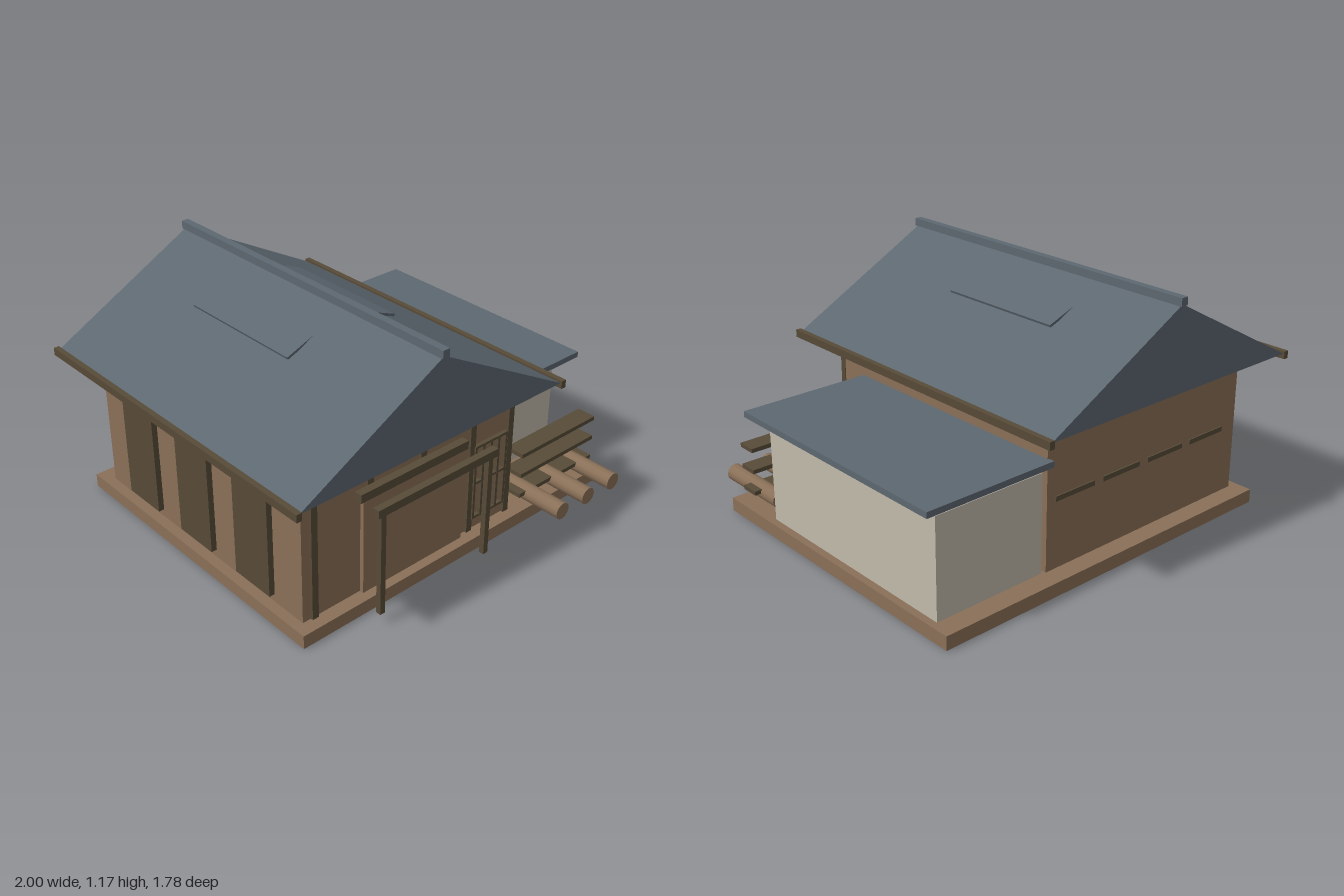
import * as THREE from 'three';

const mat = (name, color) => {
  const m = new THREE.MeshStandardMaterial({ color });
  m.name = name;
  return m;
};

export function createModel() {
  const house = new THREE.Group();
  house.name = 'house';
  const wood = mat('wood', 0x8a7058);
  const darkWood = mat('darkWood', 0x584b38);
  const slate = mat('slate', 0x5d6871);
  const plaster = mat('plaster', 0xc2bbac);

  // Box given by its limits on each axis
  const box = (name, m, [x0, x1], [y0, y1], [z0, z1], parent = house) => {
    const mesh = new THREE.Mesh(new THREE.BoxGeometry(x1 - x0, y1 - y0, z1 - z0), m);
    mesh.position.set((x0 + x1) / 2, (y0 + y1) / 2, (z0 + z1) / 2);
    mesh.name = name;
    parent.add(mesh);
    return mesh;
  };
  const group = (name) => {
    const g = new THREE.Group();
    g.name = name;
    house.add(g);
    return g;
  };

  // Base and main walls
  box('base', wood, [-0.9, 0.965], [0, 0.065], [-0.82, 0.73]);
  box('mainWalls', wood, [-0.85, 0.353], [0.065, 0.745], [-0.73, 0.665]);

  // Gable roof, ridge cap and eave beams
  const ridgeX = -0.25, ridgeY = 1.14, eaveY = 0.745, half = 0.73;
  const gable = new THREE.Shape([
    new THREE.Vector2(ridgeX - half, eaveY),
    new THREE.Vector2(ridgeX + half, eaveY),
    new THREE.Vector2(ridgeX, ridgeY),
  ]);
  const roof = new THREE.Mesh(
    new THREE.ExtrudeGeometry(gable, { depth: 1.7, bevelEnabled: false }), slate);
  roof.position.z = -0.88;
  roof.name = 'roof';
  house.add(roof);
  box('ridgeCap', slate, [-0.268, -0.232], [1.135, 1.172], [-0.89, 0.83]);
  for (const s of [-1, 1]) {
    const x = ridgeX + s * 0.737;
    box('eaveBeam', darkWood, [x - 0.013, x + 0.013], [0.722, 0.758], [-0.89, 0.83]);

    // Raised roof panel, flatter than the slope so its upper end sinks in
    const panel = box('roofPanel', slate, [-0.12, 0.12], [-0.006, 0.006], [-0.42, 0.23]);
    panel.rotation.z = -s * 0.37;
    panel.position.x = ridgeX + s * 0.185;
    panel.position.y = 1.038;
  }

  // Front wall: posts, top rail and door panel
  const front = group('frontWall');
  for (const x of [-0.792, -0.495, -0.197, 0.1, 0.34]) {
    box('wallPost', darkWood, [x - 0.016, x + 0.016], [0.065, 0.645], [0.648, 0.678], front);
  }
  box('topRail', darkWood, [-0.805, 0.305], [0.728, 0.745], [0.65, 0.69], front);
  box('doorPanel', wood, [-0.54, 0.04], [0.065, 0.56], [0.655, 0.685], front);

  // Lattice window
  const lattice = group('latticeWindow');
  for (let i = 0; i < 5; i++) {
    const x = 0.116 + i * 0.048;
    box('latticeBar', darkWood, [x - 0.006, x + 0.006], [0.13, 0.505], [0.66, 0.685], lattice);
  }
  for (const y of [0.134, 0.315, 0.501]) {
    box('latticeRail', darkWood, [0.11, 0.314], [y - 0.006, y + 0.006], [0.66, 0.684], lattice);
  }

  // Entrance frame
  const entrance = group('entranceFrame');
  for (const x of [-0.557, 0.055]) {
    box('entrancePost', darkWood, [x - 0.013, x + 0.013], [0.05, 0.55], [0.797, 0.823], entrance);
  }
  box('entranceBeam', darkWood, [-0.59, 0.092], [0.542, 0.58], [0.794, 0.828], entrance);
  box('lintel', darkWood, [-0.585, 0.024], [0.556, 0.596], [0.682, 0.72], entrance);

  // Shutters on the right-hand wall
  for (const z of [-0.418, -0.018, 0.382]) {
    box('shutter', darkWood, [-0.885, -0.858], [0.115, 0.61], [z - 0.113, z + 0.113]);
  }

  // Slits in the back wall
  for (let i = 0; i < 4; i++) {
    const x = -0.642 + i * 0.279;
    box('backSlit', darkWood, [x - 0.113, x + 0.113], [0.382, 0.405], [-0.738, -0.729]);
  }

  // Side annex with flat roof
  box('annexWalls', plaster, [0.372, 0.93], [0.065, 0.529], [-0.722, 0.414]);
  box('annexRoof', slate, [0.345, 1], [0.557, 0.585], [-0.76, 0.503]);

  // Shelves and logs in front of the annex
  const rack = group('woodRack');
  for (const y of [0.119, 0.228, 0.334]) {
    box('shelf', darkWood, [0.415, 0.92], [y - 0.01, y + 0.01], [0.6, 0.695], rack);
  }
  for (const x of [0.49, 0.67, 0.85]) {
    const log = new THREE.Mesh(new THREE.CylinderGeometry(0.042, 0.042, 0.395, 12), wood);
    log.rotation.x = Math.PI / 2;
    log.position.set(x, 0.104, 0.692);
    log.name = 'log';
    rack.add(log);
  }

  return house;
}
